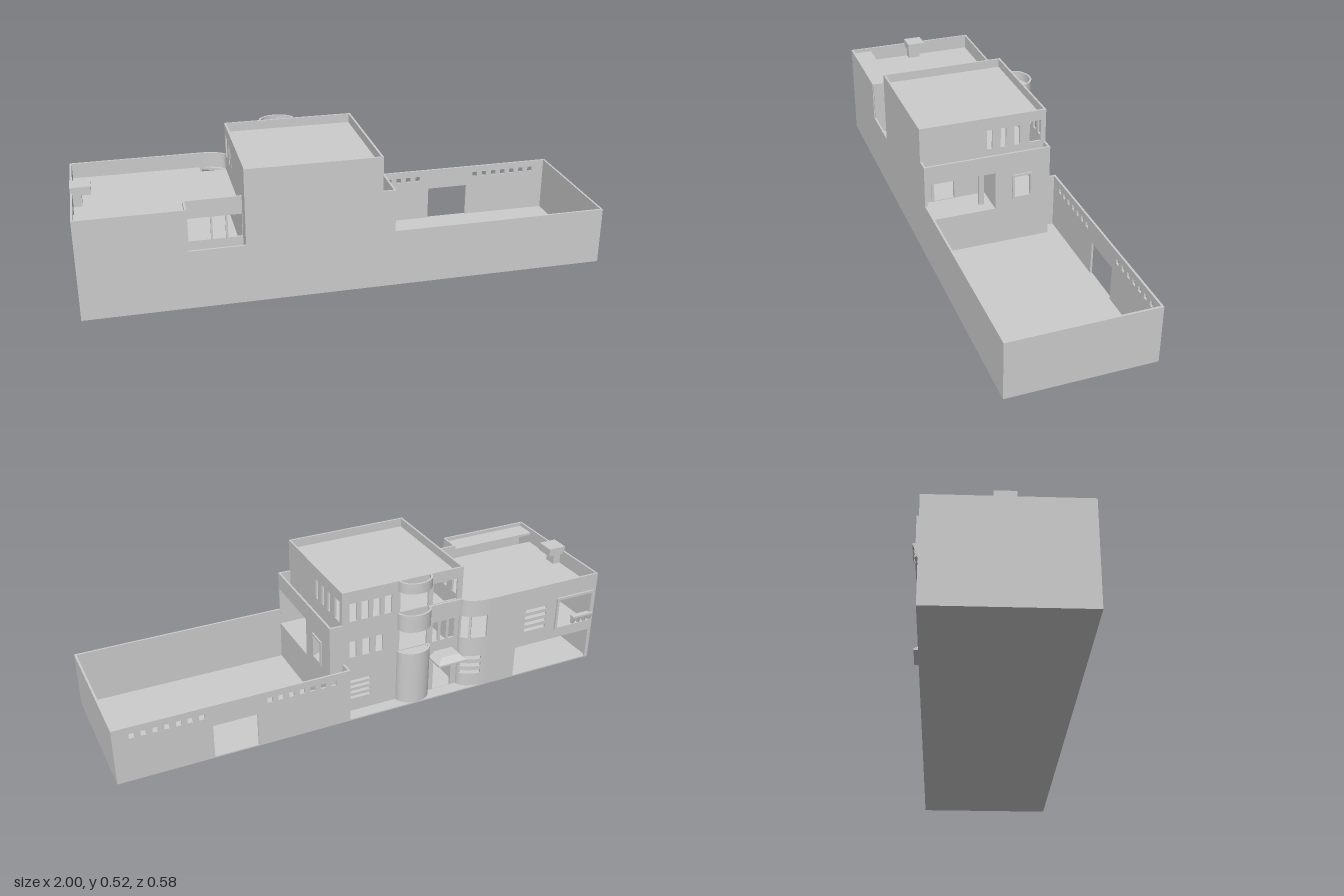
import * as THREE from 'three';

const T = 0.008; // wall thickness
const mat = new THREE.MeshStandardMaterial({ color: 0xcccccc, side: THREE.DoubleSide });

export function createModel() {
  const root = new THREE.Group();
  root.name = 'house';

  const add = (name, geo) => {
    const m = new THREE.Mesh(geo, mat);
    m.name = name;
    root.add(m);
    return m;
  };
  const box = (name, x0, x1, y0, y1, z0, z1) => {
    const m = add(name, new THREE.BoxGeometry(x1 - x0, y1 - y0, z1 - z0));
    m.position.set((x0 + x1) / 2, (y0 + y1) / 2, (z0 + z1) / 2);
    return m;
  };
  const rect = (u0, u1, y0, y1) => [[u0, y0], [u1, y0], [u1, y1], [u0, y1]];
  const poly = (pts, Type = THREE.Shape) => new Type(pts.map(p => new THREE.Vector2(...p)));
  const plate = (outline, holes, depth = T) => {
    const s = poly(outline);
    holes.forEach(h => s.holes.push(poly(rect(...h), THREE.Path)));
    return new THREE.ExtrudeGeometry(s, { depth, bevelEnabled: false });
  };
  // Wall facing z: outline in (x, y), grows from z towards +z
  const wallZ = (name, z, outline, holes = [], t = T) => {
    add(name, plate(outline, holes, t)).position.z = z;
  };
  // Wall facing x: outline in (z, y), grows from x towards -x
  const wallX = (name, x, outline, holes = [], t = T) => {
    const m = add(name, plate(outline, holes, t));
    m.rotation.y = -Math.PI / 2;
    m.position.x = x;
  };
  // Curved wall band around an ellipse in plan; angle 0 = +x, 90 = back (-z)
  const curve = (name, cx, cz, rx, rz, a0, a1, y0, y1, solid = false) => {
    const n = 20, pts = [];
    const at = (i, d) => {
      const a = THREE.MathUtils.degToRad(a0 + (a1 - a0) * i / n);
      return [cx + (rx - d) * Math.cos(a), -cz + (rz - d) * Math.sin(a)];
    };
    for (let i = 0; i <= n; i++) pts.push(at(i, 0));
    if (!solid) for (let i = n; i >= 0; i--) pts.push(at(i, T));
    const g = plate(pts, [], y1 - y0);
    g.rotateX(-Math.PI / 2);
    add(name, g).position.y = y0;
  };
  const row = (n, f) => Array.from({ length: n }, (_, i) => f(i));

  // Ground slabs
  box('groundSlab', -1, 0.16, 0, 0.005, -0.262, 0.285);
  box('yardFloor', 0.1, 1, 0, 0.005, -0.262, 0.285);

  // Long stepped party wall on the front
  wallZ('frontWall', 0.281, [[-1, 0], [1, 0], [1, 0.225], [0.16, 0.225], [0.16, 0.39], [0.11, 0.39],
    [0.11, 0.525], [-0.4, 0.525], [-0.4, 0.23], [-0.61, 0.23], [-0.61, 0.39], [-1, 0.39]]);

  // Yard walls with vent holes and a gate opening
  const vents = [...row(7, i => 0.93 - i * 0.042), ...row(7, i => 0.42 - i * 0.042)]
    .map(x => [x - 0.01, x + 0.01, 0.178, 0.198]);
  wallZ('yardBackWall', -0.262, rect(0.1, 1, 0, 0.225), [[0.47, 0.64, 0.005, 0.14], ...vents]);
  wallX('yardEndWall', 1, rect(-0.262, 0.289, 0, 0.225));
  wallX('yardReturnWall', 0.108, rect(-0.262, -0.205, 0, 0.225));

  // West wing
  wallX('westEndWall', -1 + T, rect(-0.262, 0.289, 0, 0.39));
  wallZ('westBackWall', -0.262, rect(-1, -0.5, 0, 0.39), [
    [-0.985, -0.63, 0.005, 0.135],
    [-0.975, -0.82, 0.185, 0.31],
    ...row(4, i => [-0.765, -0.665, 0.2 + i * 0.028, 0.214 + i * 0.028]),
  ]);
  box('garageRearWall', -1, -0.63, 0, 0.15, 0.1, 0.108);
  box('garageSideWall', -0.63, -0.622, 0, 0.15, -0.255, 0.108);
  box('westFloor', -0.995, -0.5, 0.15, 0.16, -0.258, 0.285);
  box('westFloorInner', -0.5, -0.39, 0.15, 0.16, -0.208, 0.285);
  box('westRoof', -0.995, -0.5, 0.32, 0.33, -0.258, 0.205);
  box('westRoofInner', -0.5, -0.39, 0.32, 0.33, -0.208, 0.205);
  box('westRoofFrontStrip', -0.995, -0.612, 0.365, 0.375, 0.2, 0.285);
  curve('curvedRoof', -0.5, -0.208, 0.109, 0.053, 0, 90, 0.32, 0.33, true);
  curve('curvedFloor', -0.5, -0.208, 0.109, 0.053, 0, 90, 0.15, 0.16, true);

  // Rounded corner beside the entrance, with horizontal slots and an open window
  const corner = (a0, a1, y0, y1) =>
    curve('roundedCorner', -0.5, -0.21, 0.11, 0.052, a0, a1, y0, y1);
  corner(0, 90, 0, 0.06);
  row(3, i => {
    const y = 0.06 + i * 0.033;
    corner(0, 15, y, y + 0.016);
    corner(75, 90, y, y + 0.016);
    corner(0, 90, y + 0.016, y + 0.033);
  });
  corner(0, 90, 0.159, 0.225);
  corner(0, 90, 0.32, 0.39);
  [0, 40, 84].forEach(a => corner(a, a + 6, 0.225, 0.32));

  // Window frame and tapered sun fins on the west wing
  wallZ('westWindowFrame', -0.27, rect(-0.985, -0.81, 0.175, 0.32), [[-0.975, -0.82, 0.185, 0.31]], T);
  row(4, i => wallX('sunFin', -0.895 - i * 0.027,
    [[-0.255, 0.172], [-0.264, 0.172], [-0.279, 0.22], [-0.255, 0.22]], [], 0.01));
  box('finRail', -0.985, -0.89, 0.214, 0.222, -0.279, -0.258);

  // Recessed front terrace
  wallZ('terraceWall', 0.2, rect(-0.61, -0.39, 0.16, 0.39), [
    [-0.6, -0.515, 0.23, 0.32], [-0.508, -0.46, 0.23, 0.32], [-0.452, -0.4, 0.23, 0.32]]);
  wallX('terraceSideWall', -0.604, rect(0.2, 0.285, 0.16, 0.39));

  // Roof vent
  box('ventStem', -0.992, -0.96, 0.33, 0.39, -0.02, 0.03);
  box('ventCap', -1, -0.925, 0.378, 0.41, -0.035, 0.04);

  // Tower and entrance facade
  wallZ('towerBackWall', -0.21, [[-0.39, 0], [0.16, 0], [0.16, 0.39], [0.11, 0.39], [0.11, 0.525], [-0.39, 0.525]], [
    [-0.365, -0.285, 0.006, 0.145],
    ...row(3, i => [-0.37 + i * 0.036, -0.346 + i * 0.036, 0.225, 0.31]),
    [-0.25, -0.13, 0.225, 0.32],
    ...row(3, i => [-0.06 + i * 0.055, -0.03 + i * 0.055, 0.245, 0.315]),
    ...row(4, i => [-0.01, 0.08, 0.06 + i * 0.024, 0.072 + i * 0.024]),
    [-0.375, -0.27, 0.392, 0.48], [-0.25, -0.13, 0.392, 0.48],
    ...row(4, i => [-0.095 + i * 0.048, -0.065 + i * 0.048, 0.4, 0.475]),
  ]);
  wallX('towerWestWall', -0.39, rect(-0.21, 0.285, 0.005, 0.525), [
    [-0.19, -0.145, 0.395, 0.48], [-0.105, -0.083, 0.395, 0.475], [-0.052, -0.044, 0.395, 0.475]]);
  wallX('towerEastWall', 0.11, rect(-0.21, 0.285, 0.32, 0.525), [
    [-0.19, -0.145, 0.395, 0.483], [-0.105, -0.083, 0.395, 0.475],
    [-0.05, -0.028, 0.395, 0.475], [0.005, 0.027, 0.395, 0.475]]);
  box('firstFloor', -0.39, 0.155, 0.15, 0.16, -0.205, 0.285);
  box('secondFloor', -0.39, 0.155, 0.312, 0.322, -0.205, 0.285);
  box('towerRoof', -0.395, 0.105, 0.483, 0.49, -0.205, 0.285);

  // East side: open porch, window wall and balcony parapet
  wallX('eastWall', 0.16, rect(-0.21, 0.285, 0, 0.39), [
    [0.01, 0.28, 0.16, 0.32], [-0.13, -0.067, 0.2, 0.288]]);
  wallX('porchInnerWall', 0.03, rect(0, 0.285, 0.16, 0.315), [[0.135, 0.216, 0.165, 0.285]]);
  wallX('porchDoorFrame', 0.036, rect(0.126, 0.225, 0.162, 0.295), [[0.135, 0.216, 0.165, 0.285]], 0.006);
  wallX('eastWindowFrame', 0.166, rect(-0.138, -0.058, 0.19, 0.296), [[-0.13, -0.067, 0.2, 0.288]], 0.006);
  box('porchSideWall', 0.03, 0.155, 0.16, 0.315, 0.002, 0.01);
  box('porchPost', 0.1, 0.115, 0.16, 0.315, 0.04, 0.06);

  // Rounded bay with open storeys between solid bands
  const bay = (name, y0, y1, solid) => curve(name, -0.19, -0.208, 0.07, 0.054, 0, 180, y0, y1, solid);
  bay('bayBase', 0, 0.225);
  bay('bayMiddleBand', 0.32, 0.39);
  bay('bayTopBand', 0.485, 0.525);
  [0.215, 0.32, 0.483].forEach(y => bay('baySlab', y, y + 0.007, true));

  // Entrance canopy: flat slab with a hipped top narrowing to the wall
  box('canopySlab', -0.39, -0.265, 0.153, 0.16, -0.289, -0.208);
  const hip = new THREE.BoxGeometry(0.125, 0.02, 0.079);
  const p = hip.attributes.position;
  for (let i = 0; i < p.count; i++) {
    if (p.getY(i) > 0) {
      p.setX(i, p.getX(i) * 0.62);
      if (p.getZ(i) < 0) p.setZ(i, -0.015);
    }
  }
  hip.computeVertexNormals();
  add('canopyHip', hip).position.set(-0.3275, 0.17, -0.2485);

  // Balcony parapet above the entrance
  box('entranceBalconyBand', -0.39, -0.255, 0.32, 0.39, -0.218, -0.21);

  return root;
}
